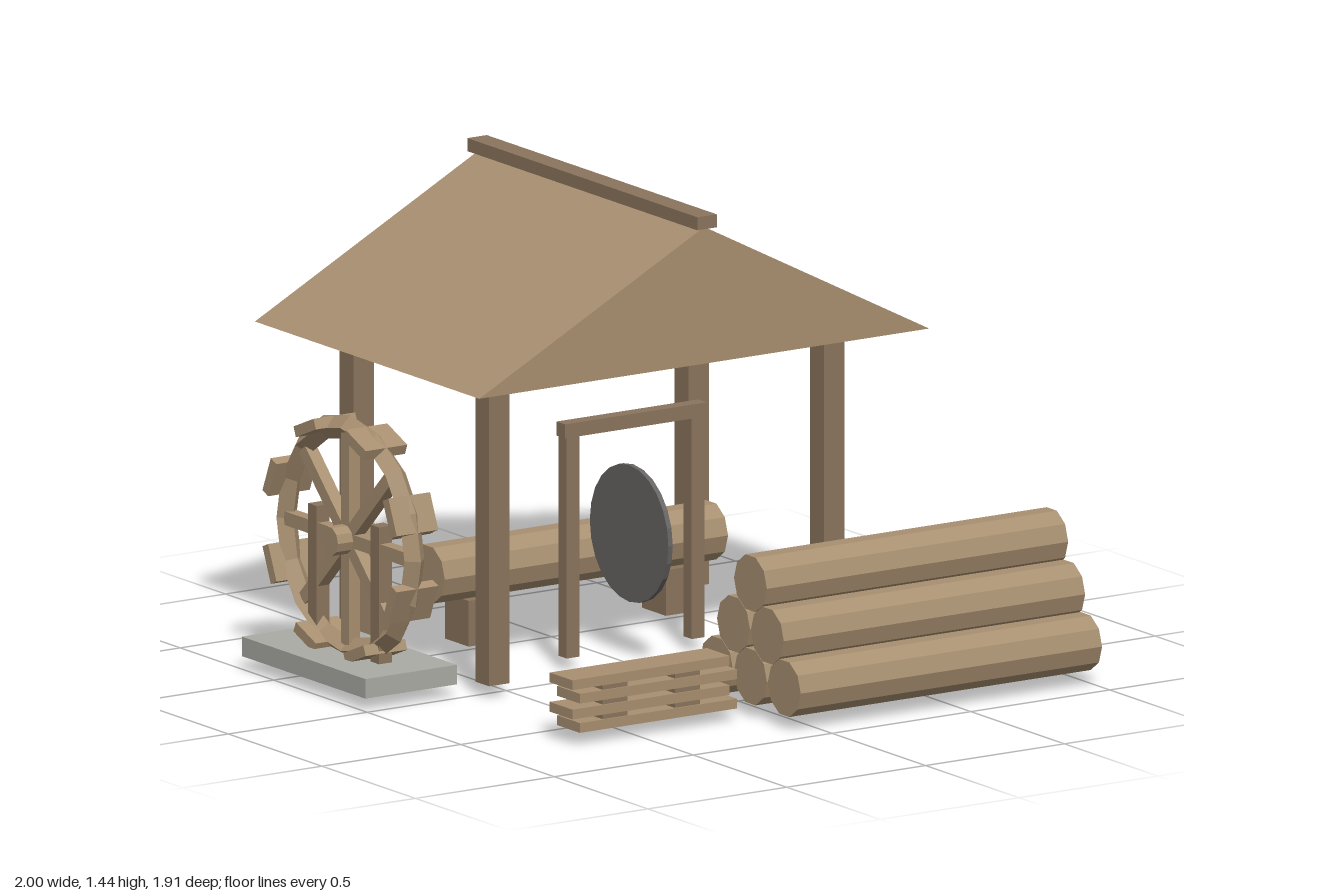
import * as THREE from 'three';

const mat = (color) => new THREE.MeshStandardMaterial({ color, flatShading: true });

export function createModel() {
  const root = new THREE.Group();
  const wood = mat(0xa88f70), darkWood = mat(0x8a745d), stone = mat(0xa9aba3);
  const steel = mat(0x666463), straw = mat(0xcdbd92);

  const add = (parent, name, geometry, material, x = 0, y = 0, z = 0) => {
    const mesh = new THREE.Mesh(geometry, material);
    mesh.name = name;
    mesh.position.set(x, y, z);
    parent.add(mesh);
    return mesh;
  };
  const group = (name) => {
    const g = new THREE.Group();
    g.name = name;
    root.add(g);
    return g;
  };
  // Box given by its lower and upper limits
  const box = (parent, name, material, x0, x1, y0, y1, z0, z1) =>
    add(parent, name, new THREE.BoxGeometry(x1 - x0, y1 - y0, z1 - z0), material,
      (x0 + x1) / 2, (y0 + y1) / 2, (z0 + z1) / 2);
  // Cylinder lying along x
  const rod = (parent, name, material, r, sides, x0, x1, y, z) =>
    add(parent, name, new THREE.CylinderGeometry(r, r, x1 - x0, sides).rotateZ(Math.PI / 2),
      material, (x0 + x1) / 2, y, z);

  const ground = 0.04, cx = 0.035, cz = -0.335;

  // Open shed: posts and top beams
  const shed = group('shed');
  for (const s of [-1, 1]) {
    for (const t of [-1, 1]) {
      const x = cx + s * 0.603, z = cz + t * 0.363;
      box(shed, 'post', darkWood, x - 0.037, x + 0.037, ground, 0.987, z - 0.037, z + 0.037);
    }
    const z = cz + s * 0.357, x = cx + s * 0.603;
    box(shed, 'crossBeam', darkWood, cx - 0.66, cx + 0.66, 0.93, 0.985, z - 0.035, z + 0.035);
    box(shed, 'sideBeam', darkWood, x - 0.03, x + 0.03, 0.931, 0.984, cz - 0.39, cz + 0.39);
  }

  // Gabled roof with ridge cap
  const gable = new THREE.Shape([
    new THREE.Vector2(-0.81, 0.985), new THREE.Vector2(0.81, 0.985), new THREE.Vector2(0, 1.405),
  ]);
  add(shed, 'roof', new THREE.ExtrudeGeometry(gable, { depth: 1.2, bevelEnabled: false }),
    wood, cx, 0, cz - 0.6);
  box(shed, 'ridgeCap', darkWood, 0, 0.07, 1.402, 1.442, cz - 0.615, cz + 0.615);

  // Saw frame with round blade
  const saw = group('saw');
  for (const s of [-1, 1]) {
    const x = cx + s * 0.225;
    box(saw, 'sawPost', darkWood, x - 0.023, x + 0.023, ground, 0.72, -0.146, -0.102);
  }
  box(saw, 'sawCrossbar', darkWood, cx - 0.255, cx + 0.255, 0.717, 0.76, -0.147, -0.101);
  rod(saw, 'sawBlade', steel, 0.21, 24, cx - 0.008, cx + 0.008, 0.388, -0.125);

  // Log waiting on two blocks
  const bench = group('logBench');
  for (const s of [-1, 1]) {
    const x = cx + s * 0.355;
    box(bench, 'supportBlock', darkWood, x - 0.05, x + 0.05, ground, 0.18, -0.52, -0.393);
  }
  rod(bench, 'benchLog', wood, 0.09, 10, -0.475, 0.545, 0.265, -0.455);

  // Water wheel: slab, stands, rim, spokes, paddles, hub and axle
  const mill = group('waterWheel');
  box(mill, 'slab', stone, -1, -0.67, ground, 0.1, cz - 0.335, cz + 0.325);
  for (const s of [-1, 1]) {
    const z = cz + s * 0.167;
    box(mill, 'wheelStand', darkWood, -0.86, -0.813, ground - 0.001, 0.52, z - 0.023, z + 0.023);
  }
  const wheel = new THREE.Group();
  wheel.name = 'wheel';
  wheel.position.set(-0.835, 0.447, cz);
  mill.add(wheel);
  add(wheel, 'rim', new THREE.TorusGeometry(0.342, 0.036, 4, 16).rotateY(Math.PI / 2), wood);
  for (let i = 0; i < 8; i++) {
    const arm = new THREE.Group();
    arm.name = 'wheelArm';
    arm.rotation.x = i * Math.PI / 4;
    wheel.add(arm);
    add(arm, 'spoke', new THREE.BoxGeometry(0.04, 0.33, 0.042), wood, 0, 0.165, 0);
    const turn = new THREE.Group();
    turn.name = 'paddleMount';
    turn.rotation.x = Math.PI / 8;
    arm.add(turn);
    add(turn, 'paddle', new THREE.BoxGeometry(0.15, 0.033, 0.116), wood, 0, 0.348, 0);
  }
  rod(wheel, 'hub', wood, 0.045, 10, -0.075, 0.075, 0, 0);
  rod(mill, 'axle', darkWood, 0.025, 8, -0.9, -0.55, 0.447, cz);

  // Pyramid of six logs
  const stack = group('logStack');
  for (let row = 0; row < 3; row++) {
    for (let i = 0; i < 3 - row; i++) {
      rod(stack, 'stackedLog', wood, 0.088, 10, -0.085, 1,
        0.125 + row * 0.143, 0.69 + (i - (2 - row) / 2) * 0.181);
    }
  }

  // Pile of planks with spacers between the layers
  const planks = group('plankPile');
  for (let i = 0; i < 4; i++) {
    const x = i % 2 ? -0.742 : -0.715, y = ground + i * 0.045;
    box(planks, 'plank', wood, x, x + 0.566, y, y + 0.03, 0.592, 0.714);
    if (i < 3) {
      for (const sx of [-0.585, -0.325]) {
        box(planks, 'spacer', darkWood, sx - 0.045, sx + 0.045, y + 0.03, y + 0.045, 0.597, 0.709);
      }
    }
  }

  // Low faceted heap of sawdust
  const heap = new THREE.IcosahedronGeometry(1, 0).rotateY(0.3).scale(0.178, 0.068, 0.142);
  add(root, 'sawdustHeap', heap, straw, -0.117, 0.058, 0.388);

  return root;
}
